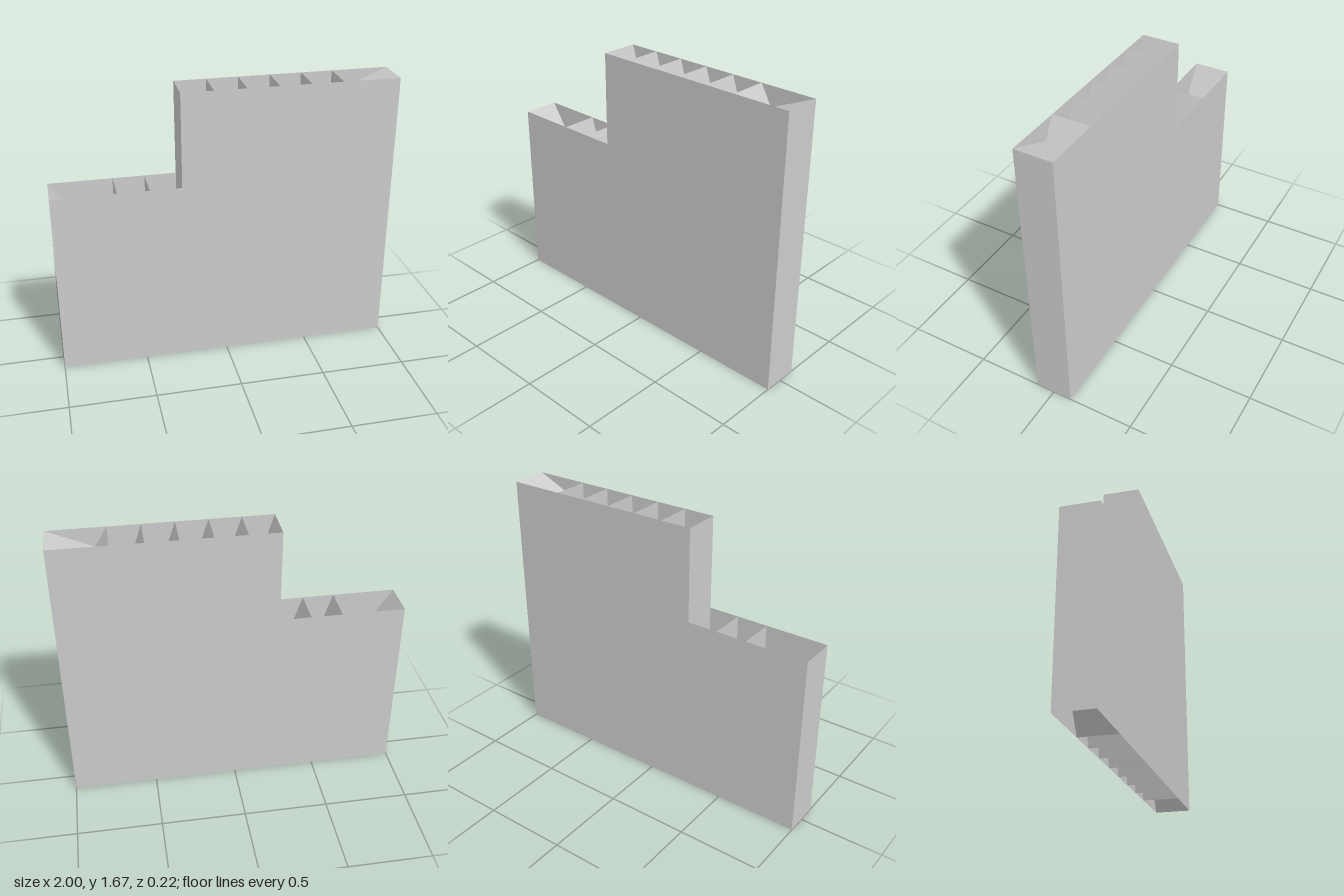
import * as THREE from 'three';

const DEPTH = 0.222;   // wall thickness
const ROW = 0.556;     // height of one course
const PITCH = 0.1852;  // rib spacing
const STEP = -0.26;    // x of the step in the outline

export function createModel() {
  const group = new THREE.Group();
  group.name = 'hollowBlockWall';
  const material = new THREE.MeshStandardMaterial({
    color: 0xcccccc, side: THREE.DoubleSide, flatShading: true,
  });

  function add(name, geometry) {
    const mesh = new THREE.Mesh(geometry, material);
    mesh.name = name;
    group.add(mesh);
  }

  // Thin plate spanning the wall's depth between two points of the elevation
  function plate(name, x0, y0, x1, y1) {
    const geometry = new THREE.PlaneGeometry(Math.hypot(x1 - x0, y1 - y0), DEPTH);
    geometry.rotateX(-Math.PI / 2);
    geometry.rotateZ(Math.atan2(y1 - y0, x1 - x0));
    geometry.translate((x0 + x1) / 2, (y0 + y1) / 2, 0);
    add(name, geometry);
  }

  // Stepped front and back sheets
  const outline = new THREE.Shape([
    [-1, 0], [1, 0], [1, 3 * ROW], [STEP, 3 * ROW], [STEP, 2 * ROW], [-1, 2 * ROW],
  ].map(([x, y]) => new THREE.Vector2(x, y)));
  add('frontSheet', new THREE.ShapeGeometry(outline).translate(0, 0, DEPTH / 2));
  add('backSheet', new THREE.ShapeGeometry(outline).rotateY(Math.PI).scale(-1, 1, 1)
    .translate(0, 0, -DEPTH / 2));

  // Outer end walls
  plate('leftEndWall', 1, 0, 1, 3 * ROW);
  plate('rightEndWall', -1, 0, -1, 2 * ROW);
  plate('stepWall', STEP, 2 * ROW, STEP, 3 * ROW);

  // Hollow blocks in staggered courses: [left x, right x, course]
  const blocks = [
    [-1, STEP, 0], [STEP, 1, 0],
    [-1, -STEP, 1], [-STEP, 1, 1],
    [STEP, 1, 2],
  ];
  // Rib positions, none right beside the outer ends
  const ribs = [];
  for (let k = 2; k <= 9; k++) ribs.push(-1 + k * PITCH);

  for (const [x0, x1, course] of blocks) {
    const low = course * ROW, high = low + ROW;
    const inner = ribs.filter((x) => x > x0 + 0.06 && x < x1 - 0.06);
    const stops = [x0, ...inner, x1];
    // Long diagonal across the block
    plate('blockDiagonal', x0, low, x1, high);
    // Upright ribs, with the joint between neighbouring blocks
    for (const x of inner) plate('rib', x, low, x, high);
    if (x0 > -1 && course < 2) plate('blockJoint', x0, low, x0, high);
    // Slanting braces from the top of one rib to the foot of the next
    for (let i = 0; i + 1 < stops.length; i++) {
      plate('brace', stops[i], high, stops[i + 1], low);
    }
  }
  return group;
}
